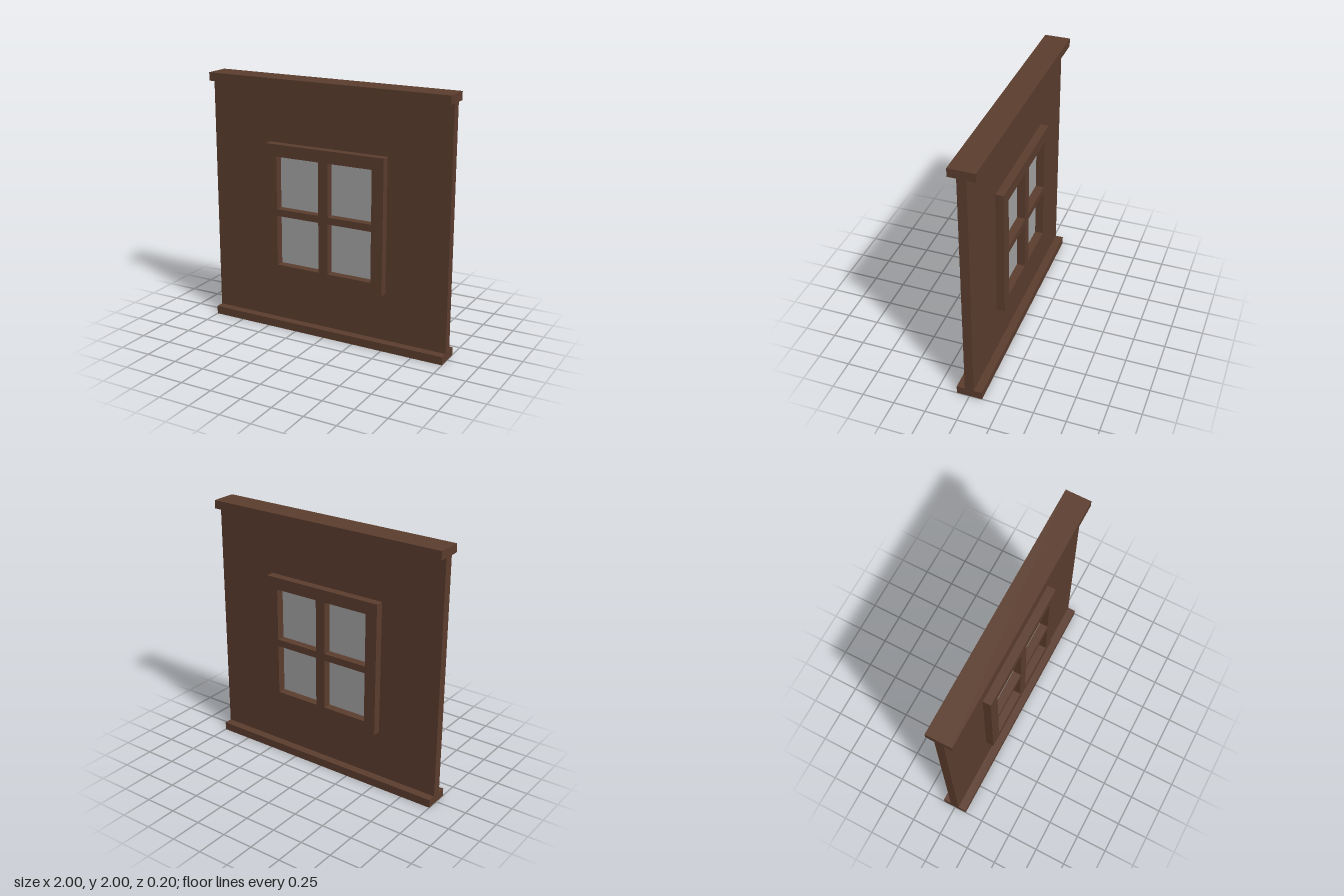
import * as THREE from 'three';

const WALL = 0.07;   // wall thickness
const DEPTH = 0.2;   // rail and window frame depth
const RAIL = 0.065;  // rail height

// Adds a rectangle outline to a shape or path
function rect(path, x0, y0, x1, y1) {
  path.moveTo(x0, y0);
  path.lineTo(x1, y0);
  path.lineTo(x1, y1);
  path.lineTo(x0, y1);
  path.closePath();
  return path;
}

// Rectangular panel with rectangular openings, centred on z = 0
function panel(outer, holes, depth) {
  const shape = rect(new THREE.Shape(), ...outer);
  for (const h of holes) shape.holes.push(rect(new THREE.Path(), ...h));
  const geo = new THREE.ExtrudeGeometry(shape, { depth, bevelEnabled: false });
  return geo.translate(0, 0, -depth / 2);
}

export function createModel() {
  const group = new THREE.Group();
  const wood = new THREE.MeshStandardMaterial({ name: 'brownWood', color: 0x5c3d2e, side: THREE.DoubleSide });
  const glass = new THREE.MeshStandardMaterial({ name: 'greyGlass', color: 0xa4a4a4 });

  function add(name, geo, mat) {
    const mesh = new THREE.Mesh(geo, mat);
    mesh.name = name;
    group.add(mesh);
    return mesh;
  }

  const windowOutline = [-0.5, 0.445, 0.5, 1.5];

  // Wall with the window opening cut out
  add('wall', panel([-1, RAIL, 1, 2 - RAIL], [windowOutline], WALL), wood);

  // Window frame with its cross bars left between four openings
  const openings = [];
  for (const [x0, x1] of [[-0.405, -0.04], [0.04, 0.405]]) {
    for (const [y0, y1] of [[0.535, 0.935], [0.99, 1.405]]) openings.push([x0, y0, x1, y1]);
  }
  add('windowFrame', panel(windowOutline, openings, DEPTH), wood);

  // Glass panes, as thick as the wall
  for (const [x0, y0, x1, y1] of openings) {
    const pane = add('glassPane', new THREE.BoxGeometry(x1 - x0, y1 - y0, WALL), glass);
    pane.position.set((x0 + x1) / 2, (y0 + y1) / 2, 0);
  }

  // Top rail
  add('topRail', new THREE.BoxGeometry(2, RAIL, DEPTH), wood).position.y = 2 - RAIL / 2;

  // Bottom rail, hollow and open underneath
  const base = new THREE.BoxGeometry(2, RAIL, DEPTH);
  const index = Array.from(base.index.array);
  index.splice(18, 6);
  base.setIndex(index);
  base.clearGroups();
  add('bottomRail', base, wood).position.y = RAIL / 2;

  return group;
}
